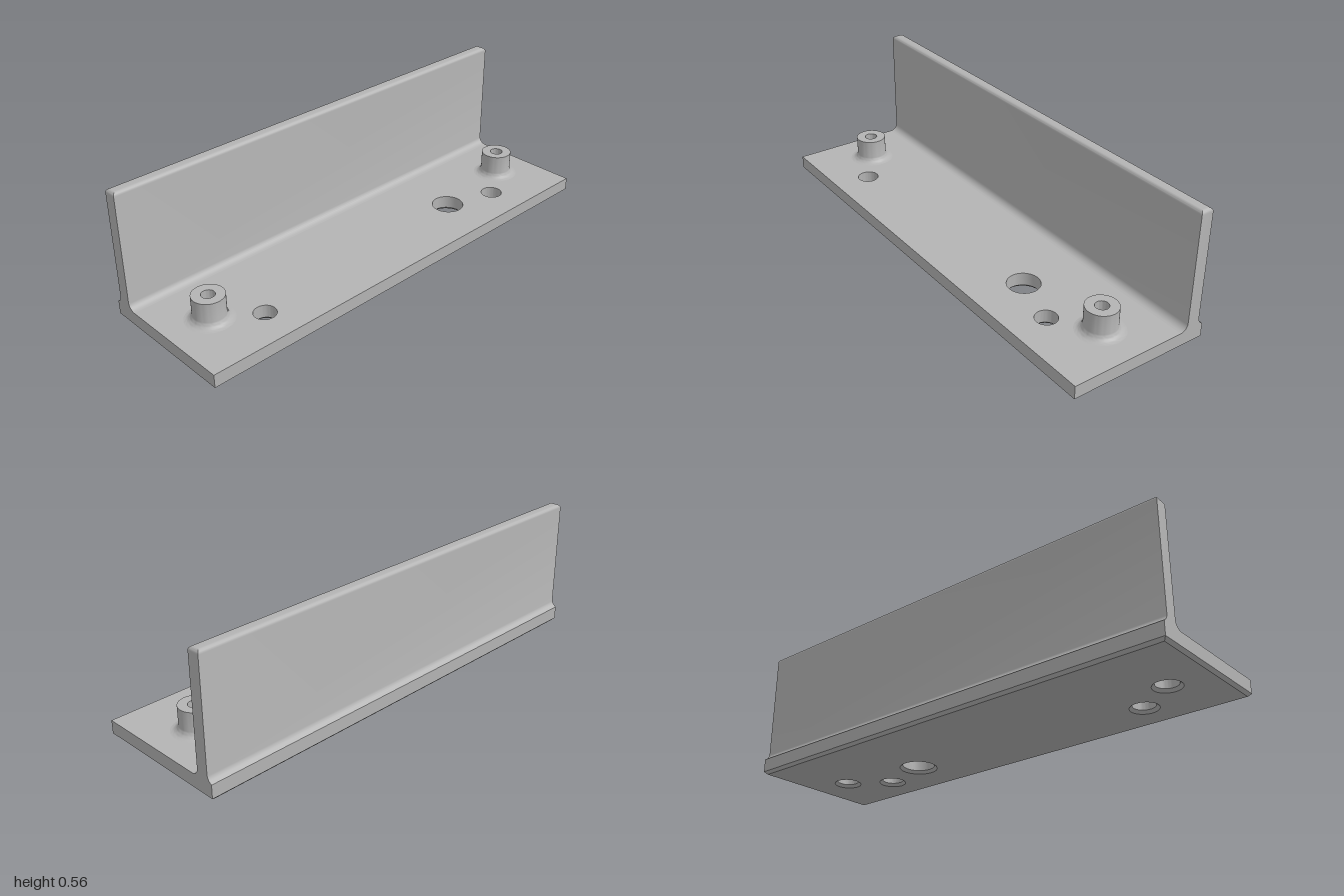
import * as THREE from 'three';
import { toCreasedNormals } from 'three/addons/utils/BufferGeometryUtils.js';

const HALF_X = 1, HALF_Z = 0.298;      // base plate half sizes
const PLATE_TOP = 0.067, CHAMFER = 0.012;
const FILLET = 0.032, SEG = 48;
const CREASE = Math.PI / 6;

// holes in the plate: x, z, radius
const plainHoles = [[-0.65, 0.14, 0.045], [0.65, 0.14, 0.045], [0.43, 0.075, 0.067]];
const bosses = [[-0.815, 0.025, 0.045], [0.815, 0.025, 0.045]];
const allHoles = [...plainHoles, ...bosses];

// skin over rectangular cross-sections {y, x, z0, z1}, listed from bottom to top
function loft(sections, capTop) {
  const pos = [];
  const rings = sections.map(({ y, x, z0, z1 }) => [[-x, y, z1], [x, y, z1], [x, y, z0], [-x, y, z0]]);
  const quad = (a, b, c, d) => pos.push(...a, ...b, ...c, ...a, ...c, ...d);
  for (let i = 0; i < rings.length - 1; i++) {
    for (let j = 0; j < 4; j++) {
      const k = (j + 1) % 4;
      quad(rings[i][j], rings[i][k], rings[i + 1][k], rings[i + 1][j]);
    }
  }
  if (capTop) quad(...rings[rings.length - 1]);
  const g = new THREE.BufferGeometry();
  g.setAttribute('position', new THREE.Float32BufferAttribute(pos, 3));
  return toCreasedNormals(g, CREASE);
}

// flat rectangular face with round holes; side is 1 for up and -1 for down
function holedFace(side, y, inset, grow) {
  const x = HALF_X - inset, z = HALF_Z - inset;
  const shape = new THREE.Shape([[-x, -z], [x, -z], [x, z], [-x, z]].map(p => new THREE.Vector2(...p)));
  for (const [hx, hz, r] of allHoles) {
    shape.holes.push(new THREE.Path().absarc(hx, -side * hz, r + grow, 0, Math.PI * 2, true));
  }
  return new THREE.ShapeGeometry(shape, SEG / 2).rotateX(-side * Math.PI / 2).translate(0, y, 0);
}

function lathe(points) {
  const g = new THREE.LatheGeometry(points.map(p => new THREE.Vector2(...p)), SEG);
  return toCreasedNormals(g, CREASE);
}

export function createModel() {
  const model = new THREE.Group();
  model.name = 'bracket';
  const grey = new THREE.MeshStandardMaterial({ color: 0xb3b3b3 });
  grey.name = 'grey';
  const add = (name, geometry, x = 0, z = 0) => {
    const mesh = new THREE.Mesh(geometry, grey);
    mesh.name = name;
    mesh.position.set(x, 0, z);
    model.add(mesh);
  };

  // base plate: chamfered rim, top and underside
  const rim = (y, inset) => ({ y, x: HALF_X - inset, z0: inset - HALF_Z, z1: HALF_Z - inset });
  add('plateRim', loft([rim(0, CHAMFER), rim(CHAMFER, 0), rim(PLATE_TOP, 0)], false));
  add('plateTop', holedFace(1, PLATE_TOP, 0, 0));
  add('plateUnderside', holedFace(-1, 0, CHAMFER, CHAMFER));

  // upright wall: filleted foot and rounded top edge
  const back = -0.277, front = -0.223, top = 0.56, round = 0.016;
  const sections = [];
  for (let i = 0; i <= 8; i++) {
    const a = i / 8 * Math.PI / 2;
    const out = FILLET * (1 - Math.sin(a));
    sections.push({
      y: PLATE_TOP + FILLET * (1 - Math.cos(a)), x: HALF_X,
      z0: Math.max(back - out, -HALF_Z), z1: front + out,
    });
  }
  for (let i = 0; i <= 6; i++) {
    const a = i / 6 * Math.PI / 2;
    const inset = round * (1 - Math.cos(a));
    sections.push({
      y: top - round + round * Math.sin(a), x: HALF_X - inset,
      z0: back + inset, z1: front - inset,
    });
  }
  add('uprightWall', loft(sections, true));

  // through holes, chamfered underneath
  for (const [x, z, r] of plainHoles) {
    add('throughHole', lathe([[r, PLATE_TOP], [r, CHAMFER], [r + CHAMFER, 0]]), x, z);
  }

  // bosses: filleted foot, narrow bore above a wider counterbore
  const outer = 0.065, bore = 0.027, bossTop = 0.172, ledge = 0.13;
  for (const [x, z, r] of bosses) {
    const profile = [];
    for (let i = 0; i <= 8; i++) {
      const a = i / 8 * Math.PI / 2;
      profile.push([outer + FILLET * (1 - Math.sin(a)), PLATE_TOP + FILLET * (1 - Math.cos(a))]);
    }
    profile.push([outer, bossTop], [bore, bossTop], [bore, ledge], [r, ledge], [r, CHAMFER], [r + CHAMFER, 0]);
    add('boss', lathe(profile), x, z);
  }
  return model;
}
